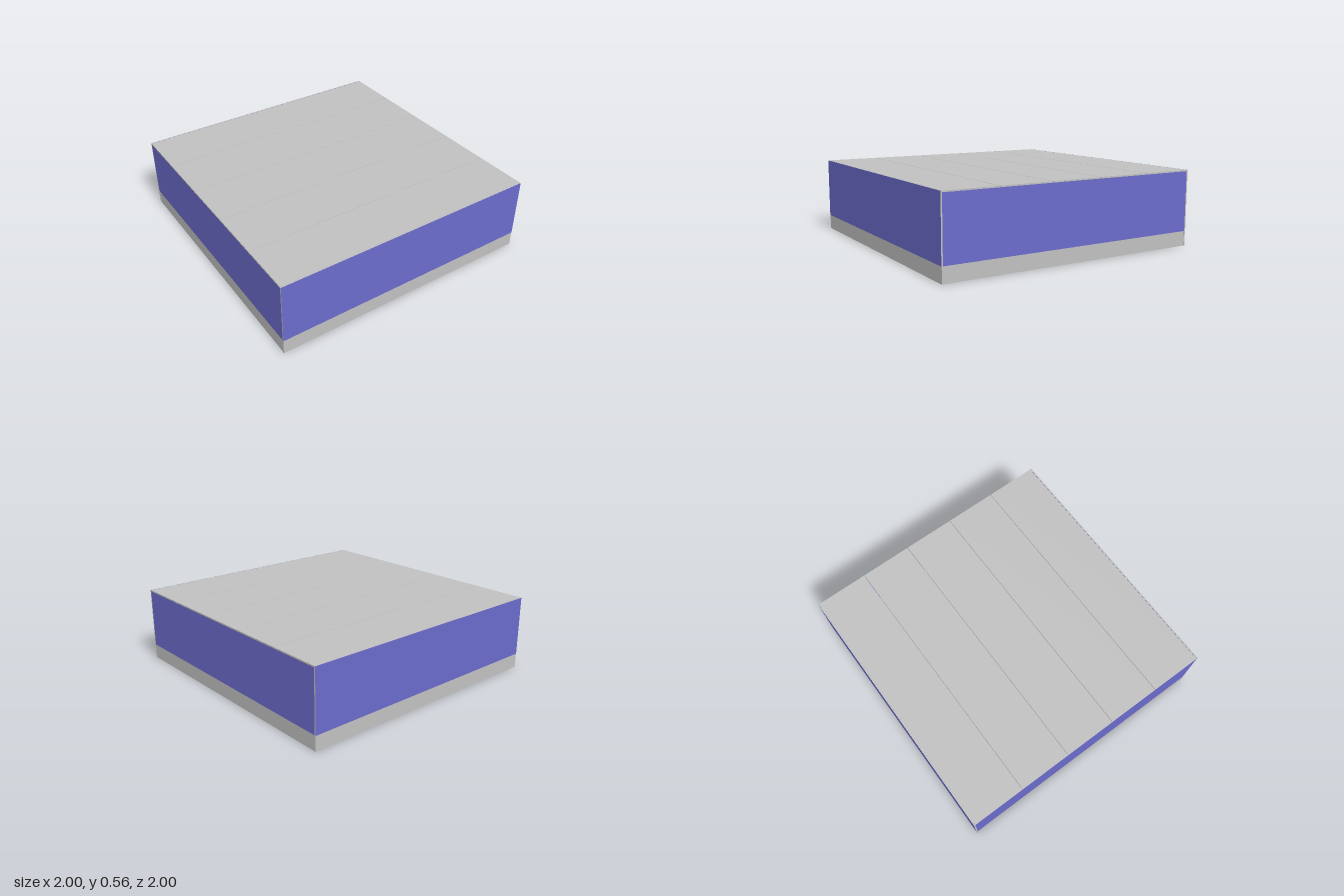
import * as THREE from 'three';

const gray = new THREE.MeshStandardMaterial({ color: 0xc0c0c0 });
gray.name = 'light gray';
const blue = new THREE.MeshStandardMaterial({ color: 0x6b6bcb });
blue.name = 'violet blue';

const T = 0.01;      // sheet thickness
const H = 0.56;      // overall height
const BASE = 0.11;   // height of the base band

// Blue sheets keep gray cut edges: only the two broad faces (+z, -z) are blue.
const sheetMaterials = [gray, gray, gray, gray, blue, blue];

function box(parent, name, size, pos, material) {
  const mesh = new THREE.Mesh(new THREE.BoxGeometry(...size), material);
  mesh.name = name;
  mesh.position.set(...pos);
  parent.add(mesh);
  return mesh;
}

// One side of the enclosure, built facing +z and then turned into place.
function wallSide(name, angle, width, top) {
  const side = new THREE.Group();
  side.name = name;
  side.rotation.y = angle;

  // base band and outer cladding sheet
  box(side, 'baseBand', [width, BASE, T], [0, BASE / 2, 1 - T / 2 - 0.002], gray);
  box(side, 'outerSheet', [width, top - BASE, T], [0, (top + BASE) / 2, 1 - T / 2], sheetMaterials);

  // ten inner lining panels with narrow joints
  const count = 10, span = 2 - 4 * T, pitch = span / count;
  const panelTop = H - 2 * T;
  for (let i = 0; i < count; i++) {
    const x = -span / 2 + (i + 0.5) * pitch;
    box(side, 'innerPanel', [pitch - 0.008, panelTop - BASE, T * 0.8],
      [x, (panelTop + BASE) / 2, 1 - T * 1.4], sheetMaterials);
  }
  return side;
}

export function createModel() {
  const model = new THREE.Group();
  model.name = 'panelEnclosure';

  // front and back run the full width, the sides fit between them
  model.add(wallSide('frontWall', 0, 2, H));
  model.add(wallSide('backWall', Math.PI, 2, H));
  model.add(wallSide('leftWall', Math.PI / 2, 2 - 2 * T, H - T));
  model.add(wallSide('rightWall', -Math.PI / 2, 2 - 2 * T, H - T));

  // roof of five long strips
  const roof = new THREE.Group();
  roof.name = 'roof';
  const depth = (2 - 2 * T) / 5;
  for (let i = 0; i < 5; i++) {
    const z = -1 + T + (i + 0.5) * depth;
    box(roof, 'roofStrip', [2, T, depth - 0.003], [0, H - T / 2, z], gray);
  }
  model.add(roof);

  // ceiling lining in a grid under the roof
  const ceiling = new THREE.Group();
  ceiling.name = 'ceiling';
  const cols = 10, rows = 5, span = 2 - 2 * T;
  for (let i = 0; i < cols; i++) {
    for (let j = 0; j < rows; j++) {
      box(ceiling, 'ceilingPanel', [span / cols - 0.008, T, span / rows - 0.008],
        [-span / 2 + (i + 0.5) * span / cols, H - T * 1.5, -span / 2 + (j + 0.5) * span / rows], gray);
    }
  }
  model.add(ceiling);
  return model;
}
